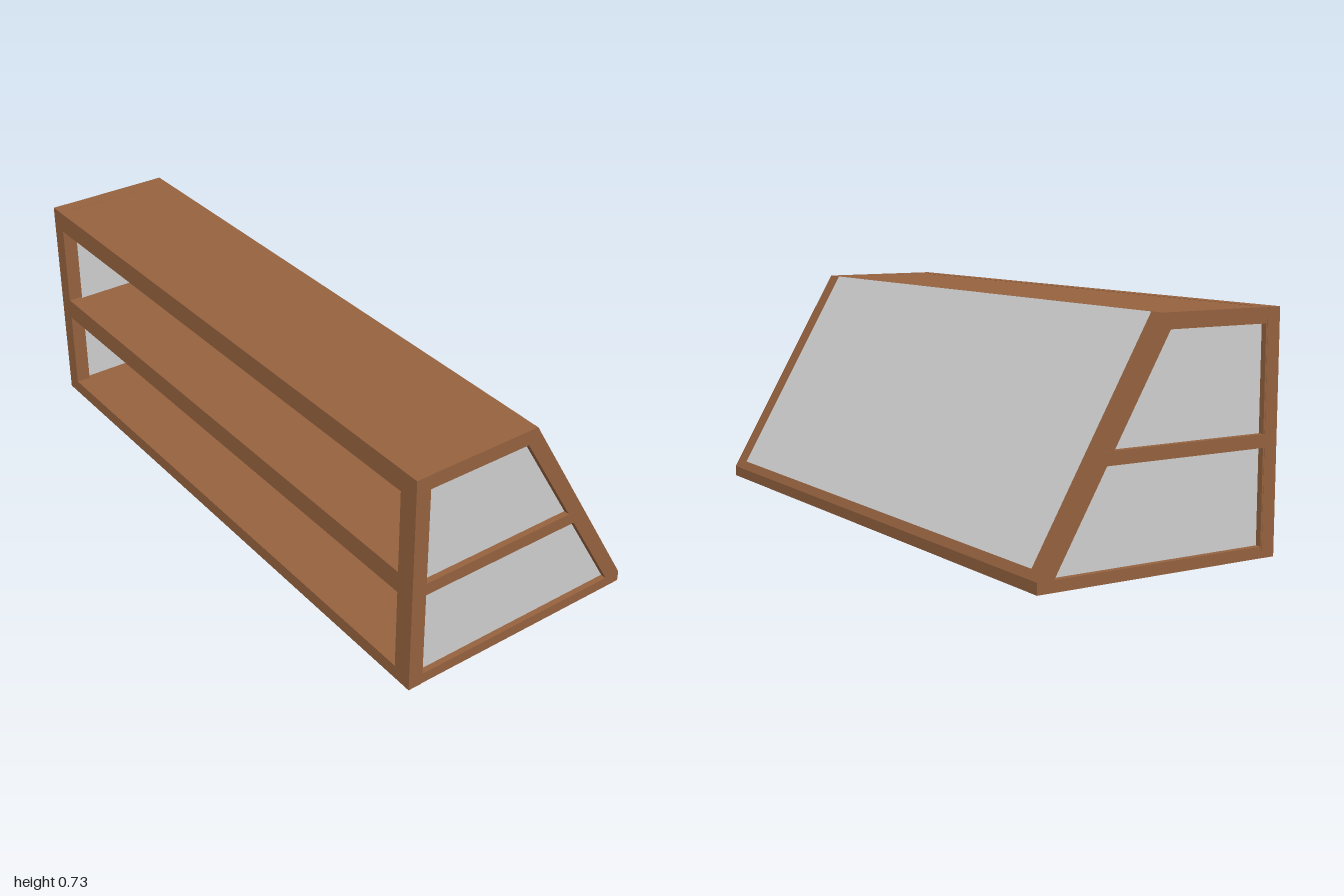
import * as THREE from 'three';

export function createModel() {
  const model = new THREE.Group();
  model.name = 'displayCase';
  const wood = new THREE.MeshStandardMaterial({ color: 0x95623f });
  wood.name = 'brownWood';
  const pane = new THREE.MeshStandardMaterial({ color: 0xd0d0d0 });
  pane.name = 'paleGrey';

  const outline = (Type, pts) => new Type(pts.map(([x, y]) => new THREE.Vector2(x, y)));
  const rect = (x0, y0, x1, y1) => [[x0, y0], [x1, y0], [x1, y1], [x0, y1]];

  function extruded(pts, holes, depth) {
    const shape = outline(THREE.Shape, pts);
    shape.holes = holes.map((h) => outline(THREE.Path, h));
    return new THREE.ExtrudeGeometry(shape, { depth, bevelEnabled: false });
  }

  function add(name, geometry, material) {
    const mesh = new THREE.Mesh(geometry, material);
    mesh.name = name;
    model.add(mesh);
    return mesh;
  }

  // Extrudes a (z, y) profile along x, from x0 to x1
  function across(name, pts, x0, x1, material, holes = []) {
    const geometry = extruded(pts, holes, x1 - x0);
    geometry.rotateY(-Math.PI / 2).translate(x1, 0, 0);
    return add(name, geometry, material);
  }

  // End frames with recessed panes
  const side = [[0.415, 0], [0.415, 0.73], [-0.01, 0.73], [-0.415, 0.035], [-0.415, 0]];
  const opening = [[0.365, 0.035], [0.365, 0.683], [0.02, 0.683], [-0.36, 0.035]];
  across('leftEndFrame', side, 0.935, 0.999, wood, [opening]);
  across('rightEndFrame', side, -0.999, -0.947, wood, [opening]);
  across('leftEndPane', opening, 0.972, 0.98, pane);
  across('rightEndPane', opening, -0.98, -0.972, pane);

  // Open front frame with two bays
  const bays = [rect(-0.945, 0.045, 0.94, 0.317), rect(-0.945, 0.387, 0.94, 0.66)];
  add('frontFrame', extruded(rect(-1, 0, 1, 0.73), bays, 0.045), wood).position.z = 0.37;

  // Top, floor and rear sill
  across('topPanel', [[0.41, 0.729], [-0.01, 0.73], [0.01, 0.683], [0.41, 0.683]], -0.998, 0.998, wood);
  across('floorPanel', rect(-0.41, 0.001, 0.41, 0.035), -0.998, 0.998, wood);
  across('rearSill', [[-0.415, 0], [-0.415, 0.035], [-0.4, 0.061], [-0.38, 0.035], [-0.38, 0]], -0.998, 0.998, wood);

  // Middle shelf, its ends showing at the sides
  across('shelf', rect(-0.198, 0.325, 0.4, 0.365), -1, 1, wood);

  // Sloping rear pane, just proud of the end frames
  const slope = [[-0.01, 0.73], [-0.4, 0.061], [-0.393, 0.057], [-0.003, 0.726]]
    .map(([z, y]) => [z - 0.001, y]);
  across('rearPane', slope, -0.95, 0.93, pane);

  return model;
}
